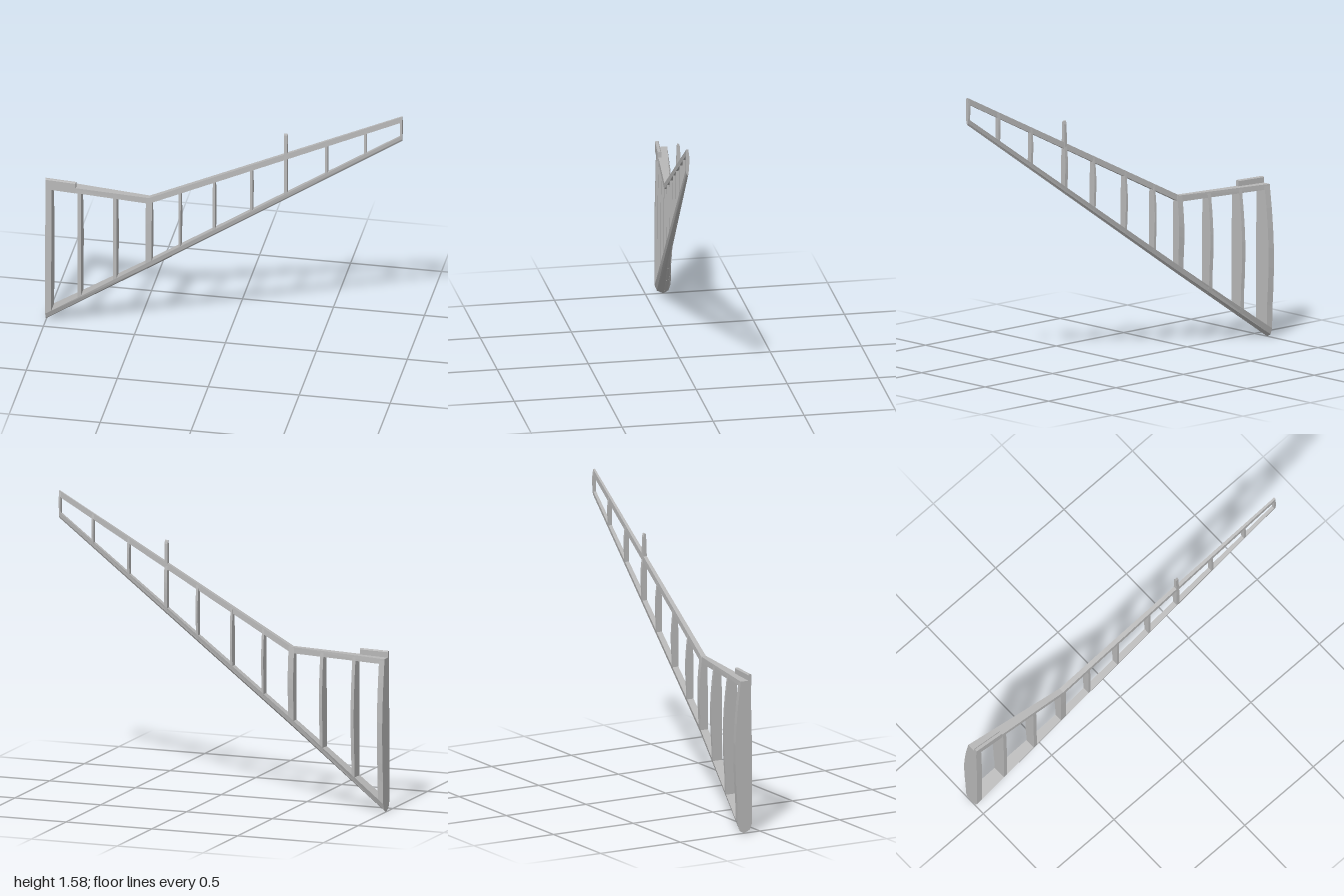
import * as THREE from 'three';

const lerp = THREE.MathUtils.lerp;

// Planform: leading edge, trailing edge, front face and thickness along the span
const KINK = -0.42;
const lead = x => lerp(0, 1.425, (x + 1) / 2);
const trail = x => x < KINK ? lerp(0.845, 0.852, (x + 1) / 0.58) : lerp(0.852, 1.575, (x - KINK) / 1.42);
const front = x => 0.05 + 0.1 * x;
const thick = x => x < KINK ? lerp(0.103, 0.05, (x + 1) / 0.58) : lerp(0.05, 0.02, (x - KINK) / 1.42);
const noseHeight = x => lerp(0.05, 0.035, (x + 1) / 2);
const at = (x, y, depth) => new THREE.Vector3(x, y, front(x) - depth * thick(x));

// Closed solid through rings that run up the back and down the front, from -x to +x
function loft(rings) {
  const out = [];
  const tri = (...p) => p.forEach(v => out.push(v.x, v.y, v.z));
  const n = rings[0].length;
  for (let r = 0; r < rings.length - 1; r++) {
    const a = rings[r], b = rings[r + 1];
    for (let i = 0; i < n; i++) {
      const j = (i + 1) % n;
      tri(a[i], a[j], b[j]);
      tri(a[i], b[j], b[i]);
    }
  }
  const first = rings[0], last = rings[rings.length - 1];
  for (let i = 1; i < n - 1; i++) {
    tri(first[0], first[i + 1], first[i]);
    tri(last[0], last[i], last[i + 1]);
  }
  const g = new THREE.BufferGeometry();
  g.setAttribute('position', new THREE.Float32BufferAttribute(out, 3));
  g.computeVertexNormals();
  return g;
}

// Rounded nose bar section
function noseRing(x) {
  const h = noseHeight(x), y = lead(x);
  return [[0, 0.5], [0.3, 0.74], [1, 0.86], [1, 0], [0.35, 0.12], [0.08, 0.36]]
    .map(([v, d]) => at(x, y + v * h, d));
}

// Flat trailing bar section
function sparRing(x) {
  const top = trail(x), low = x <= KINK ? 0.817 : top - 0.033;
  return [[low, 0.7], [top, 0.68], [top, 0.08], [low, 0.07]].map(([y, d]) => at(x, y, d));
}

// Curved rib section: pairs of chord fraction and depth
const BACK = [[0.15, 0.89], [0.28, 0.96], [0.42, 1], [0.56, 1], [0.7, 0.94], [0.84, 0.84], [1, 0.68]];
const FRONT = [[1, 0.08], [0.6, 0.01]];
function ribRing(x) {
  const y = lead(x), c = trail(x) - 0.004 - y, h = noseHeight(x);
  const point = ([u, d]) => at(x, y + h + u * (c - h), d);
  return [
    at(x, y, 0.5), at(x, y + 0.3 * h, 0.74), at(x, y + h, 0.86),
    ...BACK.map(point), ...FRONT.map(point),
    at(x, y + h, 0), at(x, y + 0.35 * h, 0.12), at(x, y + 0.08 * h, 0.36),
  ];
}

export function createModel() {
  const group = new THREE.Group();
  group.name = 'wingFrame';
  const grey = new THREE.MeshStandardMaterial({ color: 0xb8b8b8 });
  grey.name = 'grey';
  const add = (name, rings) => {
    const mesh = new THREE.Mesh(loft(rings), grey);
    mesh.name = name;
    group.add(mesh);
  };

  // Long edge bars
  add('leadingEdge', [-1, KINK, 1].map(noseRing));
  add('trailingEdge', [-1, KINK, 1].map(sparRing));

  // Ribs: centre and width
  [[-0.983, 0.034], [-0.81, 0.02], [-0.61, 0.02], [-0.42, 0.034], [-0.247, 0.013], [-0.055, 0.013],
    [0.155, 0.013], [0.346, 0.018], [0.575, 0.013], [0.793, 0.013], [0.994, 0.012]]
    .forEach(([x, w], i) => add('rib' + (i + 1), [x - w / 2, x + w / 2].map(ribRing)));

  // Raised tab at the root
  add('rootTab', [-1, -0.83].map(x => {
    const z = front(x) - 0.003;
    return [[0.817, -0.02], [0.875, -0.02], [0.88, -0.015], [0.88, -0.005], [0.875, 0], [0.817, 0]]
      .map(([y, d]) => new THREE.Vector3(x, y, z + d));
  }));

  // Small arm standing above the trailing edge
  add('controlArm', [0.337, 0.355].map(x =>
    [[1.2, 0.059], [1.345, 0.061], [1.362, 0.066], [1.365, 0.072], [1.355, 0.077], [1.2, 0.083]]
      .map(([y, z]) => new THREE.Vector3(x, y, z))));

  return group;
}
